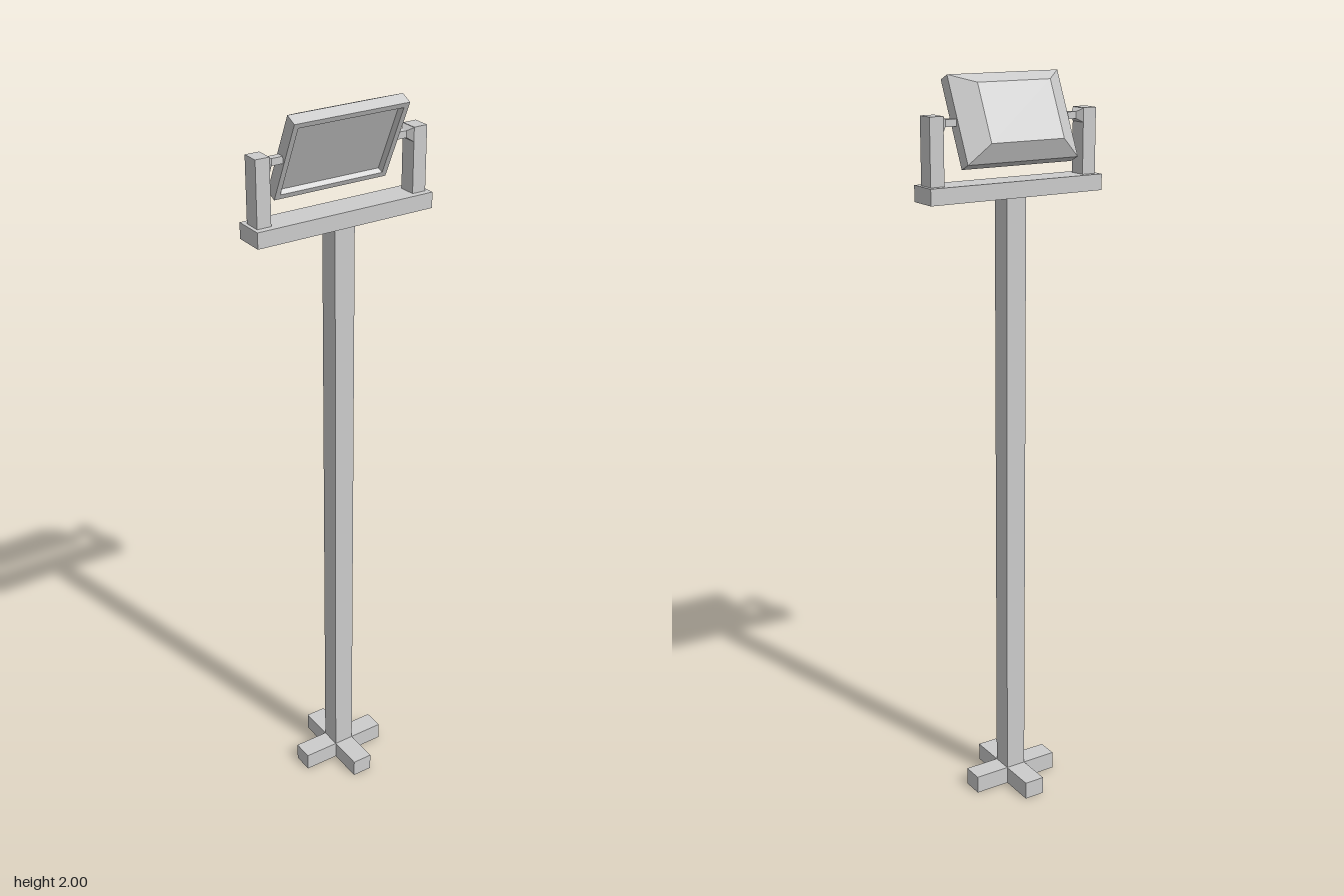
import * as THREE from 'three';

const grey = new THREE.MeshStandardMaterial({ color: 0xcccccc });
grey.name = 'light grey';

function add(parent, name, geometry, x = 0, y = 0, z = 0) {
  const mesh = new THREE.Mesh(geometry, grey);
  mesh.name = name;
  mesh.position.set(x, y, z);
  parent.add(mesh);
  return mesh;
}

// Flat-faced solid through rectangular rings [halfWidth, halfHeight, z], back to front.
function loft(rings) {
  const pos = [];
  const corners = rings.map(([w, h, z]) => [[-w, -h, z], [w, -h, z], [w, h, z], [-w, h, z]]);
  const quad = (a, b, c, d) => pos.push(...a, ...b, ...c, ...a, ...c, ...d);
  for (let r = 0; r < corners.length - 1; r++) {
    const a = corners[r], b = corners[r + 1];
    for (let i = 0; i < 4; i++) {
      const j = (i + 1) % 4;
      quad(a[i], a[j], b[j], b[i]);
    }
  }
  const back = corners[0], front = corners[corners.length - 1];
  quad(back[3], back[2], back[1], back[0]);
  quad(...front);
  const geometry = new THREE.BufferGeometry();
  geometry.setAttribute('position', new THREE.Float32BufferAttribute(pos, 3));
  geometry.computeVertexNormals();
  return geometry;
}

export function createModel() {
  const model = new THREE.Group();
  model.name = 'floodlightPost';
  const pivotY = 1.888;

  // Crossed feet: one full bar and two stubs
  add(model, 'footBar', new THREE.BoxGeometry(0.258, 0.05, 0.058), 0, 0.025, 0);
  for (const s of [-1, 1]) {
    add(model, 'footStub', new THREE.BoxGeometry(0.058, 0.05, 0.1), 0, 0.025, s * 0.079);
  }

  // Pole and crossbar
  add(model, 'pole', new THREE.BoxGeometry(0.058, 1.645, 0.058), 0, 0.8725, 0);
  add(model, 'crossbar', new THREE.BoxGeometry(0.512, 0.042, 0.084), 0, 1.716, 0);

  // Uprights with tapered bosses and pivot pins
  for (const s of [-1, 1]) {
    add(model, 'upright', new THREE.BoxGeometry(0.039, 0.17, 0.048), s * 0.2265, 1.822, 0);
    const boss = add(model, 'pivotBoss', loft([[0.024, 0.018, 0], [0.01, 0.009, 0.013]]), s * 0.207, pivotY, 0);
    boss.rotation.y = -s * Math.PI / 2;
    add(model, 'pivotPin', new THREE.BoxGeometry(0.034, 0.018, 0.02), s * 0.178, pivotY, 0);
  }

  // Tilted lamp housing: bevelled back, straight rim, recessed front
  const lamp = add(model, 'lampHousing', loft([
    [0.107, 0.078, -0.057],
    [0.163, 0.116, -0.017],
    [0.163, 0.116, 0.017],
    [0.149, 0.102, 0.017],
    [0.144, 0.097, 0.004],
  ]), 0, pivotY, 0);
  lamp.rotation.x = THREE.MathUtils.degToRad(25);

  return model;
}
